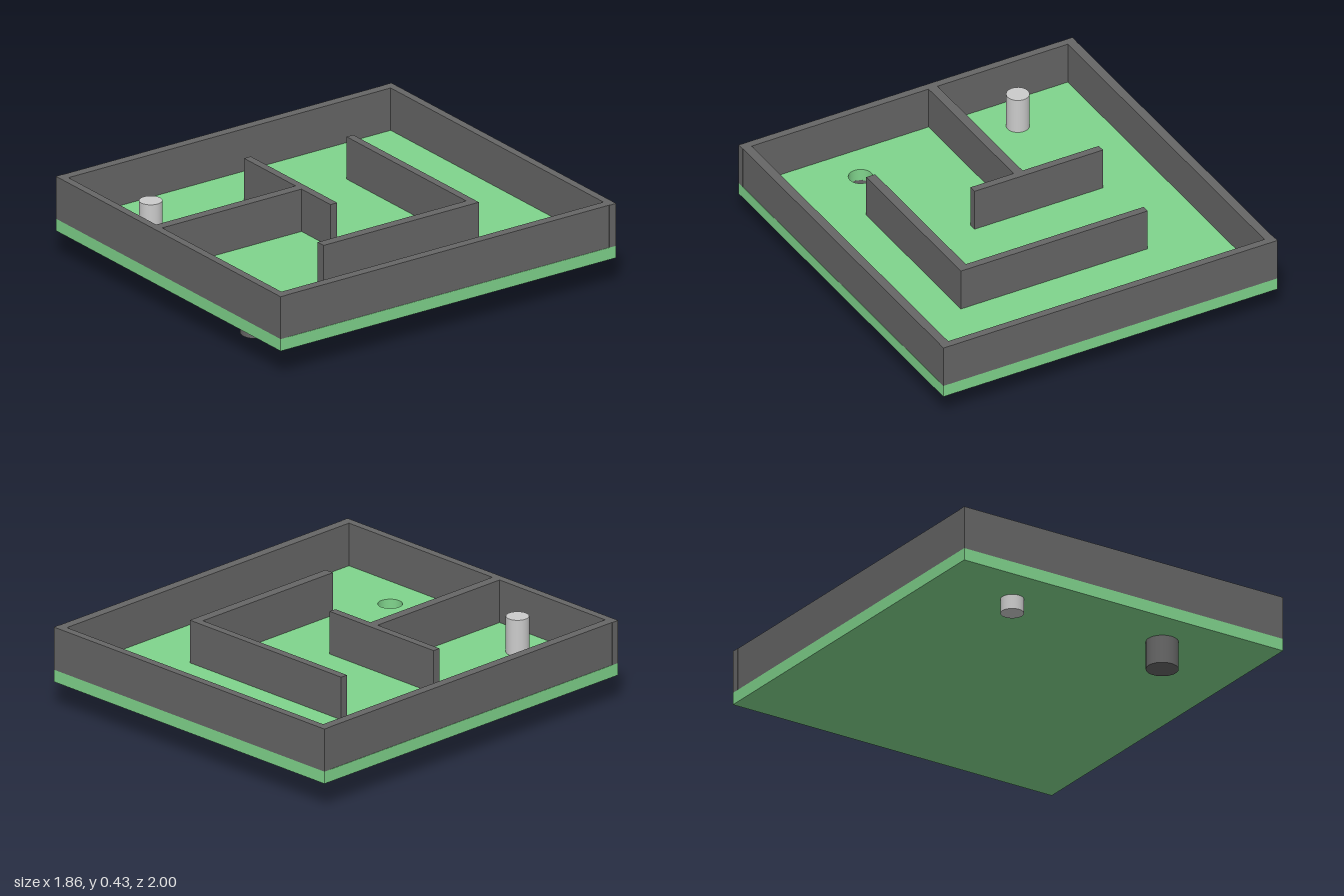
import * as THREE from 'three';

const FLOOR = 0.145, DECK = 0.208, TOP = 0.43;
const CUP = { x: 0.39, z: 0.755, inner: 0.06, outer: 0.08 };
const PIN = { x: -0.485, z: 0.755, r: 0.057 };

export function createModel() {
  const model = new THREE.Group();
  const green = new THREE.MeshStandardMaterial({ color: 0x80d48c });
  const dark = new THREE.MeshStandardMaterial({ color: 0x666666 });
  const grey = new THREE.MeshStandardMaterial({ color: 0xcccccc });

  const add = (name, geometry, material, x = 0, y = 0, z = 0) => {
    const mesh = new THREE.Mesh(geometry, material);
    mesh.name = name;
    mesh.position.set(x, y, z);
    model.add(mesh);
    return mesh;
  };

  // Green deck with a round hole over the cup (shape y becomes -z)
  const outline = new THREE.Shape([
    new THREE.Vector2(-0.93, -1), new THREE.Vector2(0.93, -1),
    new THREE.Vector2(0.93, 1), new THREE.Vector2(-0.93, 1),
  ]);
  const hole = new THREE.Path();
  hole.absarc(CUP.x, -CUP.z, CUP.inner, 0, Math.PI * 2, true);
  outline.holes.push(hole);
  const deck = new THREE.ExtrudeGeometry(outline, {
    depth: DECK - FLOOR, bevelEnabled: false, curveSegments: 32,
  });
  deck.rotateX(-Math.PI / 2);
  add('deck', deck, green, 0, FLOOR, 0);

  // Walls as [name, x0, x1, z0, z1], all rising from the deck
  const walls = [
    ['frontWall', -0.93, 0.93, 0.96, 1],
    ['backWall', -0.93, 0.93, -1, -0.96],
    ['leftWall', 0.88, 0.928, -0.96, 0.96],
    ['rightWall', -0.928, -0.88, -0.96, 0.96],
    ['teeStem', -0.155, -0.105, 0.13, 0.96],
    ['teeBar', -0.58, 0.135, 0.09, 0.13],
    ['cornerWallLong', -0.51, 0.53, -0.47, -0.43],
    ['cornerWallSide', 0.48, 0.53, -0.43, 0.455],
  ];
  for (const [name, x0, x1, z0, z1] of walls) {
    add(name, new THREE.BoxGeometry(x1 - x0, TOP - DECK, z1 - z0), dark,
      (x0 + x1) / 2, (DECK + TOP) / 2, (z0 + z1) / 2);
  }

  // Hollow cup hanging under the hole; corners doubled to keep edges sharp
  const profile = [
    [0, 0], [CUP.outer, 0], [CUP.outer, 0], [CUP.outer, FLOOR], [CUP.outer, FLOOR],
    [CUP.inner, FLOOR], [CUP.inner, FLOOR], [CUP.inner, 0.02], [CUP.inner, 0.02], [0, 0.02],
  ].map(([r, y]) => new THREE.Vector2(r, y));
  const cup = new THREE.Group();
  cup.name = 'cup';
  cup.position.set(CUP.x, 0, CUP.z);
  for (let i = 0; i < profile.length; i += 2) {
    const part = new THREE.Mesh(
      new THREE.LatheGeometry([profile[i], profile[i + 1]], 32), dark);
    part.name = ['cupBase', 'cupOutside', 'cupRim', 'cupInside', 'cupFloor'][i / 2];
    cup.add(part);
  }
  model.add(cup);

  // Peg passing through the deck
  const pegBottom = 0.07, pegTop = 0.395;
  add('peg', new THREE.CylinderGeometry(PIN.r, PIN.r, pegTop - pegBottom, 32), grey,
    PIN.x, (pegTop + pegBottom) / 2, PIN.z);

  return model;
}
